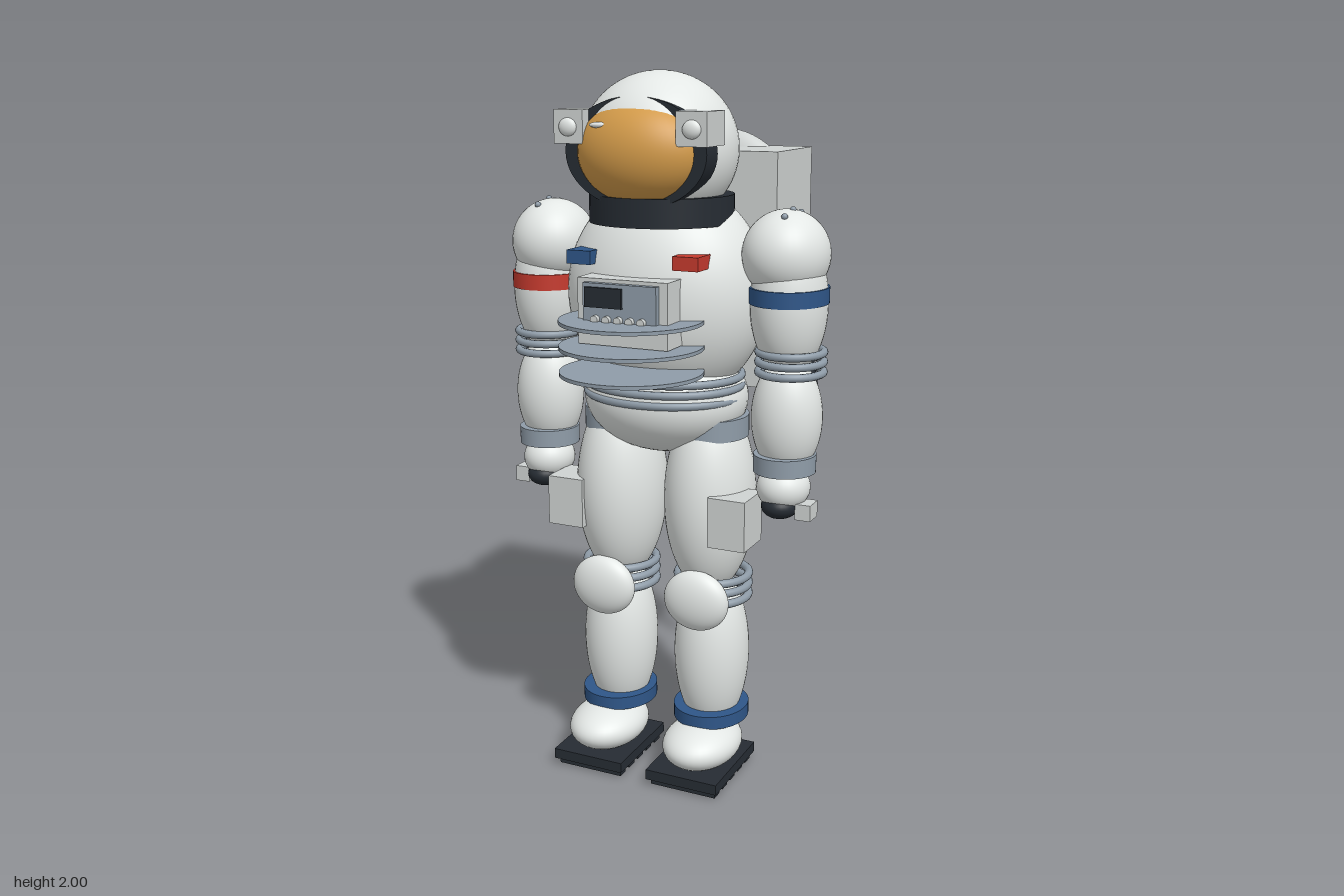
import * as THREE from 'three';

const mat = (name, color) => {
  const m = new THREE.MeshStandardMaterial({ color });
  m.name = name;
  return m;
};

export function createModel() {
  const white = mat('suit white', 0xe4e8e6);
  const shell = mat('shell grey', 0xcfd3d2);
  const steel = mat('steel grey', 0x8f9ca8);
  const dark = mat('charcoal', 0x262c33);
  const gold = mat('visor gold', 0xd39b4a);
  const blue = mat('band blue', 0x2f5688);
  const red = mat('band red', 0xc53a2e);

  const root = new THREE.Group();
  root.name = 'astronaut';

  const add = (parent, name, geo, m, [x, y, z]) => {
    const mesh = new THREE.Mesh(geo, m);
    mesh.name = name;
    mesh.position.set(x, y, z);
    parent.add(mesh);
    return mesh;
  };
  // ellipsoid given by its centre and radii
  const ball = (p, name, m, c, [rx, ry, rz], seg = 40) =>
    add(p, name, new THREE.SphereGeometry(1, seg, Math.round(seg * 0.7)).scale(rx, ry, rz), m, c);
  // box given by its lower and upper corners
  const box = (p, name, m, a, b) =>
    add(p, name, new THREE.BoxGeometry(b[0] - a[0], b[1] - a[1], b[2] - a[2]), m,
      a.map((v, i) => (v + b[i]) / 2));
  // upright elliptical band
  const band = (p, name, m, c, rx, rz, h) =>
    add(p, name, new THREE.CylinderGeometry(1, 1, h, 48).scale(rx, 1, rz), m, c);
  // horizontal elliptical ring
  const ring = (p, name, m, c, rx, rz, tube = 0.011) =>
    add(p, name, new THREE.TorusGeometry(1, tube / rx, 10, 48).rotateX(Math.PI / 2).scale(rx, rx, rz), m, c);
  const group = (name) => {
    const g = new THREE.Group();
    g.name = name;
    root.add(g);
    return g;
  };

  // helmet with visor, visor frame and neck collar
  const helmet = group('helmet');
  ball(helmet, 'helmetShell', white, [0, 1.795, 0.093], [0.215, 0.205, 0.212], 56);
  const frame = new THREE.CylinderGeometry(1, 1, 0.07, 56).rotateX(Math.PI / 2).scale(0.205, 0.145, 1);
  add(helmet, 'visorFrame', frame, dark, [0, 1.79, 0.211]);
  ball(helmet, 'visor', gold, [0, 1.79, 0.2], [0.182, 0.14, 0.125], 48);
  ball(helmet, 'visorGlint', white, [-0.08, 1.862, 0.288], [0.03, 0.008, 0.012], 16);
  band(helmet, 'collar', dark, [0, 1.637, 0.083], 0.2, 0.19, 0.077);
  for (const s of [-1, 1]) {
    const lamp = group('helmetLamp');
    box(lamp, 'lampHousing', shell, [s * 0.177 - 0.043, 1.812, 0.166], [s * 0.177 + 0.043, 1.9, 0.28]);
    ball(lamp, 'lampLens', white, [s * 0.178, 1.855, 0.28], [0.026, 0.024, 0.014], 20);
  }

  // torso, pelvis and waist
  const body = group('body');
  ball(body, 'torso', white, [0, 1.4, 0.048], [0.29, 0.31, 0.228], 56);
  ball(body, 'pelvis', white, [0, 1.11, 0.056], [0.238, 0.16, 0.203], 48);
  for (const y of [1.178, 1.15, 1.12])
    ring(body, 'waistRing', steel, [0, y, 0.07], 0.224, 0.187);
  box(body, 'leftBadge', red, [0.118, 1.495, 0.19], [0.192, 1.532, 0.27]);
  box(body, 'rightBadge', blue, [-0.195, 1.495, 0.19], [-0.123, 1.532, 0.27]);
  for (const y of [1.355, 1.285, 1.215])
    band(body, 'frontDisc', steel, [0, y, 0.272], 0.195, 0.195, 0.01);

  // chest control unit
  const control = group('chestControl');
  box(control, 'controlBox', shell, [-0.132, 1.292, 0.18], [0.132, 1.47, 0.325]);
  box(control, 'controlPanel', steel, [-0.107, 1.335, 0.32], [0.107, 1.46, 0.343]);
  box(control, 'controlScreen', dark, [-0.098, 1.397, 0.34], [0.01, 1.45, 0.352]);
  for (let i = 0; i < 5; i++) {
    const knob = new THREE.CylinderGeometry(0.011, 0.011, 0.018, 16).rotateX(Math.PI / 2);
    add(control, 'controlKnob', knob, shell, [-0.068 + i * 0.034, 1.365, 0.348]);
  }

  // life-support pack
  const pack = group('backpack');
  box(pack, 'packCase', shell, [-0.257, 1.11, -0.397], [0.257, 1.78, -0.12]);
  ball(pack, 'packBulge', shell, [0, 1.465, -0.357], [0.276, 0.365, 0.084], 56);
  box(pack, 'ventPlate', steel, [-0.153, 1.352, -0.46], [0.153, 1.6, -0.41]);
  for (let i = 0; i < 5; i++)
    box(pack, 'ventSlot', dark, [-0.113, 1.386 + i * 0.04, -0.469], [0.113, 1.404 + i * 0.04, -0.455]);

  for (const s of [-1, 1]) {
    const side = s > 0 ? 'left' : 'right';

    // slanted rod beside the pack
    const top = new THREE.Vector3(s * 0.262, 1.455, -0.246);
    const end = new THREE.Vector3(s * 0.334, 1.095, -0.24);
    const dir = end.clone().sub(top);
    const rod = add(pack, 'packRod', new THREE.CapsuleGeometry(0.017, dir.length(), 6, 16), dark,
      top.clone().add(end).multiplyScalar(0.5).toArray());
    rod.quaternion.setFromUnitVectors(new THREE.Vector3(0, 1, 0), dir.normalize());

    // arm
    const arm = group(side + 'Arm');
    ball(arm, 'shoulder', white, [s * 0.354, 1.525, 0.055], [0.118, 0.12, 0.13]);
    for (const z of [-0.006, 0.055, 0.118])
      ball(arm, 'shoulderBolt', steel, [s * 0.37, z === 0.055 ? 1.643 : 1.631, z], [0.009, 0.009, 0.009], 12);
    ball(arm, 'upperArm', white, [s * 0.366, 1.395, 0.058], [0.104, 0.2, 0.118]);
    band(arm, 'armBand', s > 0 ? blue : red, [s * 0.366, 1.419, 0.058], 0.106, 0.121, 0.044);
    for (const y of [1.265, 1.238, 1.21])
      ring(arm, 'elbowRing', steel, [s * 0.375, y, 0.06], 0.088, 0.093);
    ball(arm, 'forearm', white, [s * 0.37, 1.085, 0.07], [0.098, 0.165, 0.097]);
    band(arm, 'wristCuff', steel, [s * 0.37, 0.96, 0.08], 0.086, 0.09, 0.05);
    ball(arm, 'glove', white, [s * 0.37, 0.89, 0.085], [0.074, 0.066, 0.08], 32);
    ball(arm, 'fingers', dark, [s * 0.37, 0.843, 0.108], [0.052, 0.036, 0.058], 28);
    box(arm, 'handBlock', shell, [s * 0.441 - 0.022, 0.812, 0.065], [s * 0.441 + 0.022, 0.857, 0.125]);

    // leg
    const leg = group(side + 'Leg');
    band(leg, 'hipBand', steel, [s * 0.14, 1.038, 0.056], 0.105, 0.115, 0.06);
    ball(leg, 'thigh', white, [s * 0.14, 0.825, 0.06], [0.128, 0.285, 0.15], 44);
    box(leg, 'thighPouch', shell, [s * 0.25 - 0.055, 0.725, 0.08], [s * 0.25 + 0.055, 0.868, 0.207]);
    for (const y of [0.595, 0.565, 0.533])
      ring(leg, 'kneeRing', steel, [s * 0.148, y, 0.053], 0.102, 0.106, 0.012);
    ball(leg, 'kneePad', white, [s * 0.147, 0.548, 0.172], [0.098, 0.088, 0.045], 36);
    ball(leg, 'shin', white, [s * 0.148, 0.36, 0.06], [0.108, 0.25, 0.115], 44);
    band(leg, 'ankleBand', blue, [s * 0.15, 0.178, 0.066], 0.108, 0.12, 0.038);

    // boot with treaded sole
    ball(leg, 'boot', white, [s * 0.153, 0.1, 0.135], [0.11, 0.068, 0.146]);
    box(leg, 'bootSole', dark, [s * 0.15 - 0.11, 0.02, -0.005], [s * 0.15 + 0.11, 0.05, 0.284]);
    for (let i = 0; i < 5; i++) {
      const z = 0.006 + i * 0.057;
      box(leg, 'soleTread', dark, [s * 0.15 - 0.1, 0, z], [s * 0.15 + 0.1, 0.022, z + 0.034]);
    }
  }
  return root;
}
